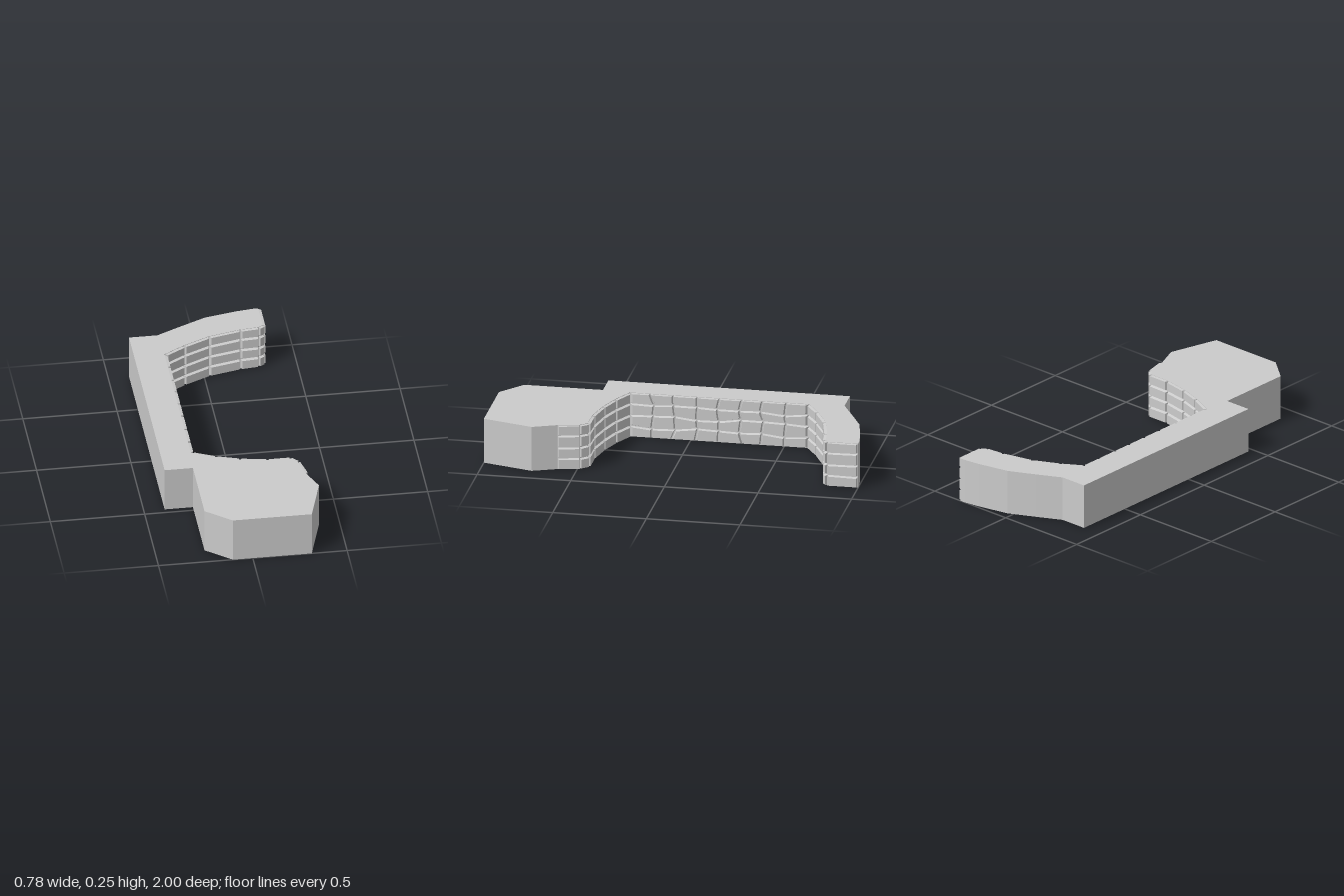
import * as THREE from 'three';

const HEIGHT = 0.245;
const ROWS = [0.003, 0.062, 0.124, 0.188, 0.244];

// Stone face line in plan [x, z], from the back tip round to the front tip
const FACE = [
  [0.335, -1.0], [0.335, -0.83], [0.3, -0.807], [0.2, -0.797], [0.03, -0.757],
  [-0.11, -0.69], [-0.215, -0.625],
  [-0.215, -0.515], [-0.215, -0.39], [-0.215, -0.275], [-0.215, -0.15], [-0.215, -0.03],
  [-0.215, 0.09], [-0.215, 0.205], [-0.215, 0.315],
  [-0.1, 0.37], [0.02, 0.41], [0.16, 0.437], [0.285, 0.437], [0.325, 0.482], [0.352, 0.6],
];
const WALL_START = 6, WALL_END = 14;

// Outer side in plan [x, z], from the front tip back to the back tip
const OUTER = [
  [0.39, 0.73], [0.313, 1.0], [-0.105, 1.0], [-0.24, 0.89], [-0.24, 0.47], [-0.39, 0.47],
  [-0.39, -0.82], [-0.24, -0.82], [-0.11, -0.885], [0.03, -0.952], [0.2, -0.988], [0.29, -1.0],
];

function seeded(seed) {
  return () => {
    seed = (seed * 16807) % 2147483647;
    return seed / 2147483647 * 2 - 1;
  };
}

// Unit direction and outward normal of one stretch of the face line
function frame(i) {
  const k = Math.max(0, Math.min(FACE.length - 2, i));
  const d = new THREE.Vector2(...FACE[k + 1]).sub(new THREE.Vector2(...FACE[k])).normalize();
  return { d, n: new THREE.Vector2(d.y, -d.x) };
}

// Face line moved inward, mitred at the corners
function recessed(depth) {
  return FACE.map((p, i) => {
    const a = frame(i - 1).n, b = frame(i).n;
    const m = a.clone().add(b).divideScalar(1 + a.dot(b));
    return new THREE.Vector2(...p).addScaledVector(m, -depth);
  });
}

// Tapered stone: front loop of four corners, matching back loop, open at the back
function stoneGeometry(front, back) {
  const pos = [];
  const quad = (a, b, c, d) => [a, b, c, a, c, d].forEach((v) => pos.push(v.x, v.y, v.z));
  quad(...front);
  for (let i = 0; i < 4; i++) {
    const j = (i + 1) % 4;
    quad(back[i], back[j], front[j], front[i]);
  }
  const g = new THREE.BufferGeometry();
  g.setAttribute('position', new THREE.Float32BufferAttribute(pos, 3));
  g.computeVertexNormals();
  return g;
}

export function createModel() {
  const model = new THREE.Group();
  model.name = 'curvedStoneWall';
  const material = new THREE.MeshStandardMaterial({ color: 0xcccccc, flatShading: true });
  const core = recessed(0.015);

  // Solid wall body behind the stones
  const plan = [...core, ...OUTER.map((p) => new THREE.Vector2(...p))];
  const shape = new THREE.Shape(plan.map((p) => new THREE.Vector2(p.x, -p.y)));
  const bodyGeometry = new THREE.ExtrudeGeometry(shape, { depth: HEIGHT, bevelEnabled: false });
  bodyGeometry.rotateX(-Math.PI / 2);
  const body = new THREE.Mesh(bodyGeometry, material);
  body.name = 'wallBody';
  model.add(body);

  // Joint offsets: the straight wall is laid unevenly, the arms almost regularly
  const rand = seeded(4271);
  const joints = FACE.map((_, i) => ROWS.map((y, j) => {
    const wall = i > WALL_START && i < WALL_END;
    const edge = j === 0 || j === ROWS.length - 1;
    const loose = wall ? (i < 10 ? 1 : 0.65) : 0;
    return {
      along: rand() * 0.016 * loose,
      y: y + (edge ? 0 : rand() * (0.002 + 0.012 * loose)),
    };
  }));

  const groups = {};
  for (const name of ['backArmStones', 'straightWallStones', 'frontArmStones']) {
    groups[name] = new THREE.Group();
    groups[name].name = name;
    model.add(groups[name]);
  }

  // Four courses of stones on every stretch of the face line
  for (let i = 0; i < FACE.length - 1; i++) {
    const { d } = frame(i);
    const name = i < WALL_START ? 'backArmStones' : i < WALL_END ? 'straightWallStones' : 'frontArmStones';
    for (let j = 0; j < ROWS.length - 1; j++) {
      const loop = (line, inset) => [[0, 0], [0, 1], [1, 1], [1, 0]].map(([u, v]) => {
        const p = line[i + u], joint = joints[i + u][j + v];
        const s = joint.along + (u ? -inset : inset);
        const outerEdge = j + v === 0 || j + v === ROWS.length - 1;
        const lift = outerEdge ? inset * 0.4 : inset;
        return new THREE.Vector3(p.x + d.x * s, joint.y + (v ? -lift : lift), p.y + d.y * s);
      });
      const front = loop(recessed(0), 0.008);
      const back = loop(core, 0.003);
      const stone = new THREE.Mesh(stoneGeometry(front, back), material);
      stone.name = 'stone';
      groups[name].add(stone);
    }
  }
  return model;
}
